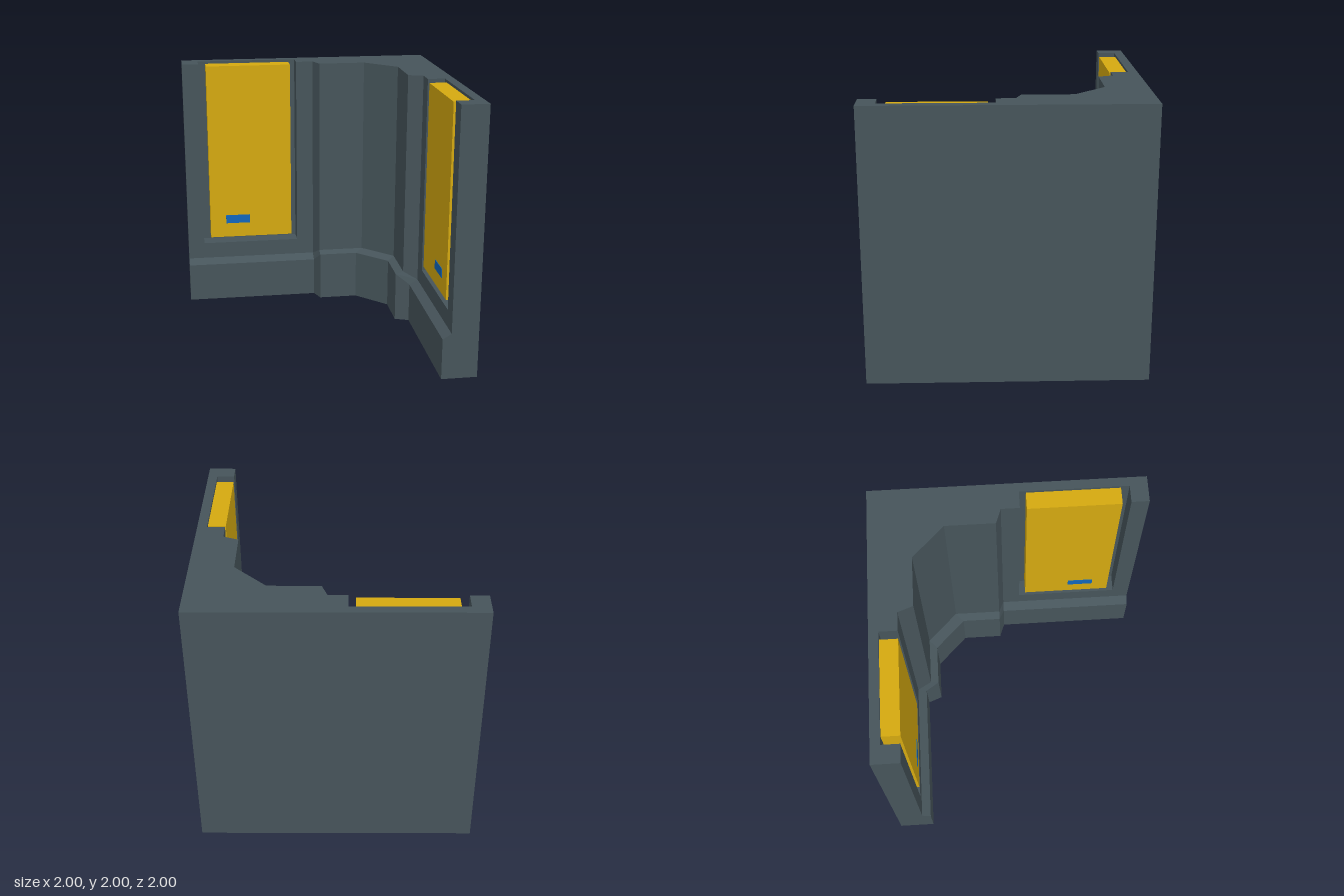
import * as THREE from 'three';

// Mirror across the diagonal of the corner: (x, z) -> (-z, -x)
const mirrored = (half) => [...half, ...half.slice().reverse().map(([x, y, z]) => [-z, y, -x])];

// Half outline along the back wall: [x, z of wall, z of recess, is column, x of plinth, z of plinth]
const HALF = [
  [-1, -0.8, -0.8, 0, -1, -0.735],
  [-0.87, -0.8, -0.8, 0, -0.87, -0.735],
  [-0.87, -0.8, -0.93, 0, -0.87, -0.735],
  [-0.08, -0.8, -0.93, 0, -0.08, -0.735],
  [-0.08, -0.8, -0.8, 0, -0.08, -0.735],
  [0.055, -0.8, -0.8, 0, 0.055, -0.735],
  [0.095, -0.69, -0.69, 1, 0.095, -0.63],
  [0.46, -0.69, -0.69, 1, 0.4, -0.63],
];

// Closed ring: inner outline plus the three outer corners
function ring(point, y) {
  return [...mirrored(HALF.map(point)), [1, y, 1], [1, y, -1], [-1, y, -1]];
}

function wallGeometry() {
  const rings = [
    ring((p) => [p[4], 0, p[5]], 0),
    ring((p) => [p[4], p[3] ? 0.39 : 0.31, p[5]], 0.31), // plinth edge
    ring((p) => [p[0], p[3] ? 0.41 : 0.35, p[1]], 0.35), // top of bevel
    ring((p) => [p[0], 0.48, p[1]], 0.48),
    ring((p) => [p[0], 0.48, p[2]], 0.48), // recess ledge
    ring((p) => [p[0], 2, p[2]], 2),
  ];
  const pos = [];
  const a = new THREE.Vector3(), b = new THREE.Vector3(), c = new THREE.Vector3();
  const tri = (p, q, r) => {
    a.fromArray(p); b.fromArray(q); c.fromArray(r);
    if (b.sub(a).cross(c.sub(a)).length() > 1e-6) pos.push(...p, ...q, ...r);
  };
  const n = rings[0].length;
  for (let k = 0; k < rings.length - 1; k++) {
    for (let i = 0; i < n; i++) {
      const j = (i + 1) % n, lo = rings[k], hi = rings[k + 1];
      tri(lo[i], lo[j], hi[j]);
      tri(lo[i], hi[j], hi[i]);
    }
  }
  // Top and bottom caps
  const cap = (r, flip) => {
    const pts = r.filter((p, i) => i === 0 || p.some((v, k) => Math.abs(v - r[i - 1][k]) > 1e-6));
    const flat = pts.map(([x, , z]) => new THREE.Vector2(x, -z));
    for (const [i, j, k] of THREE.ShapeUtils.triangulateShape(flat, [])) {
      if (flip) tri(pts[i], pts[k], pts[j]);
      else tri(pts[i], pts[j], pts[k]);
    }
  };
  cap(rings[rings.length - 1], false);
  cap(rings[0], true);
  const g = new THREE.BufferGeometry();
  g.setAttribute('position', new THREE.Float32BufferAttribute(pos, 3));
  g.computeVertexNormals();
  return g;
}

export function createModel() {
  const model = new THREE.Group();
  model.name = 'cornerWall';
  const wallGrey = new THREE.MeshStandardMaterial({ name: 'wallGrey', color: 0x46545a });
  const panelYellow = new THREE.MeshStandardMaterial({ name: 'panelYellow', color: 0xd4a910 });
  const markerBlue = new THREE.MeshStandardMaterial({ name: 'markerBlue', color: 0x1166bb });

  const add = (name, geometry, material) => {
    const mesh = new THREE.Mesh(geometry, material);
    mesh.name = name;
    model.add(mesh);
    return mesh;
  };
  add('wall', wallGeometry(), wallGrey);

  // Box on the back wall and its twin on the side wall
  const pair = (name, [w, h, d], [x, y, z], material) => {
    add('back' + name, new THREE.BoxGeometry(w, h, d), material).position.set(x, y, z);
    add('side' + name, new THREE.BoxGeometry(d, h, w), material).position.set(-z, y, -x);
  };
  pair('Panel', [0.68, 1.45, 0.13], [-0.47, 1.255, -0.865], panelYellow);
  pair('Marker', [0.2, 0.07, 0.006], [-0.58, 0.685, -0.799], markerBlue);
  return model;
}
